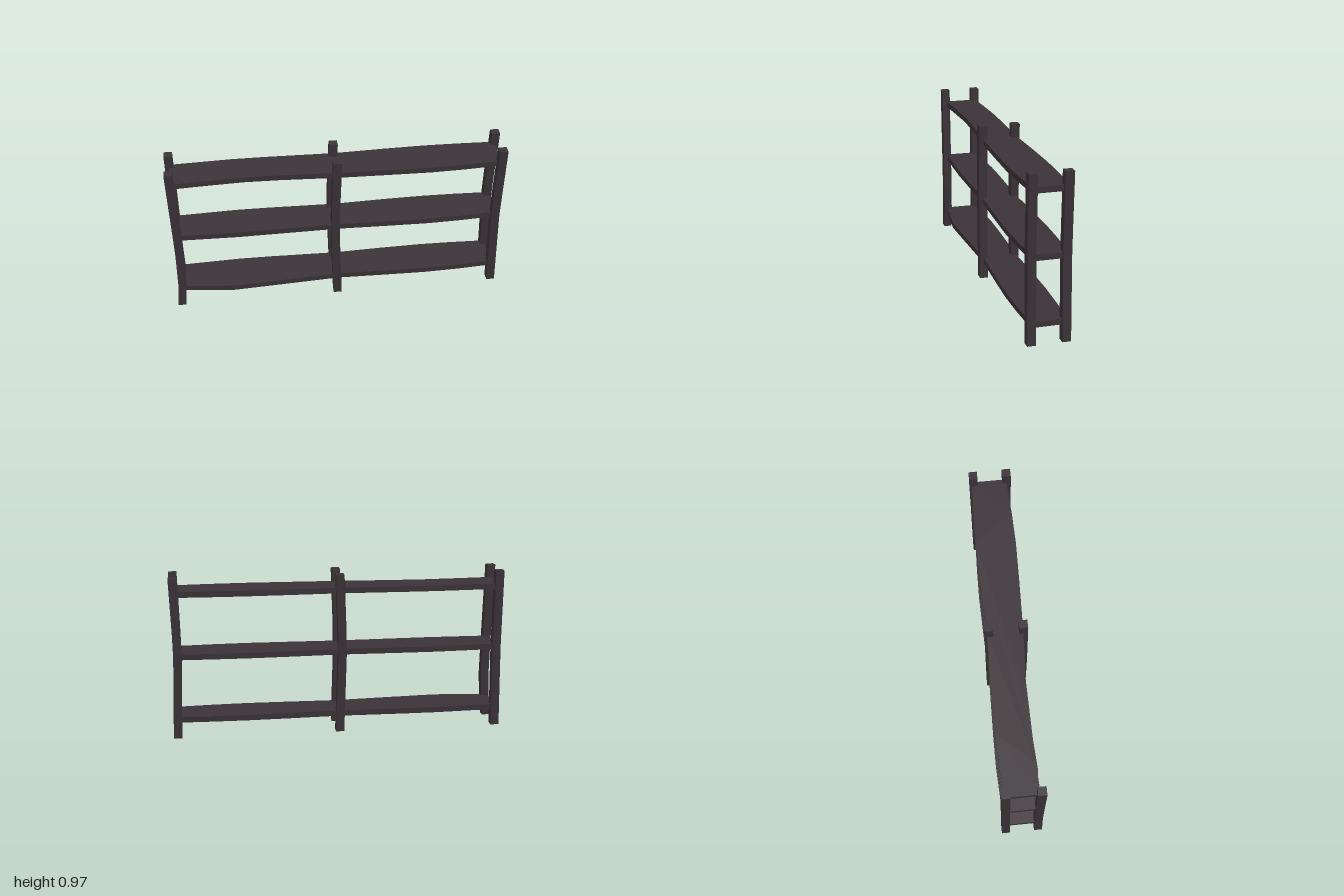
import * as THREE from 'three';

const wood = new THREE.MeshStandardMaterial({ color: 0x3b3338, flatShading: true });
wood.name = 'darkWood';

// Extrudes an outline of [x, y] points by the given depth
function slab(points, depth, name) {
  const shape = new THREE.Shape(points.map(([x, y]) => new THREE.Vector2(x, y)));
  const mesh = new THREE.Mesh(
    new THREE.ExtrudeGeometry(shape, { depth, bevelEnabled: false }), wood);
  mesh.name = name;
  return mesh;
}

// Upright with a square section that bends sideways: bend = [height, offset]
function post(name, x, z, bend) {
  const knots = [[0, 0], ...bend, [0.97, 0]];
  const side = (s) => knots.map(([y, dx]) => [x + dx + s * 0.025, y]);
  const mesh = slab([...side(1), ...side(-1).reverse()], 0.05, name);
  mesh.position.z = z - 0.025;
  return mesh;
}

// Wavy plank: front and back edges as [x, z], listed left to right
function shelf(name, y, front, back) {
  const outline = [...front, ...back.slice().reverse()].map(([x, z]) => [x, -z]);
  const mesh = slab(outline, 0.034, name);
  mesh.rotation.x = -Math.PI / 2;
  mesh.position.y = y;
  return mesh;
}

export function createModel() {
  const group = new THREE.Group();
  group.name = 'shelfUnit';

  // Three front and three back posts
  const front = 0.095, back = -0.105;
  group.add(
    post('frontRightPost', -0.975, front, [[0.15, 0.013], [0.27, 0.018], [0.5, 0.013]]),
    post('frontMiddlePost', -0.005, front, [[0.33, -0.01], [0.5, -0.013], [0.65, -0.011]]),
    post('frontLeftPost', 0.975, front, [[0.33, -0.008], [0.5, -0.012], [0.65, -0.009]]),
    post('backRightPost', -0.975, back, [[0.5, 0.006]]),
    post('backMiddlePost', -0.005, back, [[0.33, -0.01], [0.5, -0.015], [0.65, -0.012]]),
    post('backLeftPost', 0.975, back, [[0.33, -0.01], [0.5, -0.015], [0.65, -0.012]]),
  );

  // Three planks sharing the back edge, each with its own front edge
  const backEdge = [[-0.975, -0.115], [-0.6, -0.128], [-0.4, -0.126], [0, -0.115],
    [0.3, -0.124], [0.55, -0.128], [0.75, -0.124], [0.975, -0.115]];
  const frontRightHalf = [[0, 0.095], [0.3, 0.104], [0.55, 0.11], [0.75, 0.105], [0.975, 0.092]];
  const planks = [
    ['bottomShelf', 0.095, [[-0.8, 0.113], [-0.65, 0.13], [-0.4, 0.117]]],
    ['middleShelf', 0.481, [[-0.6, 0.1]]],
    ['topShelf', 0.856, [[-0.8, 0.08], [-0.55, 0.07], [-0.35, 0.075]]],
  ];
  for (const [name, y, wave] of planks) {
    group.add(shelf(name, y, [[-0.975, 0.09], ...wave, ...frontRightHalf], backEdge));
  }
  return group;
}
